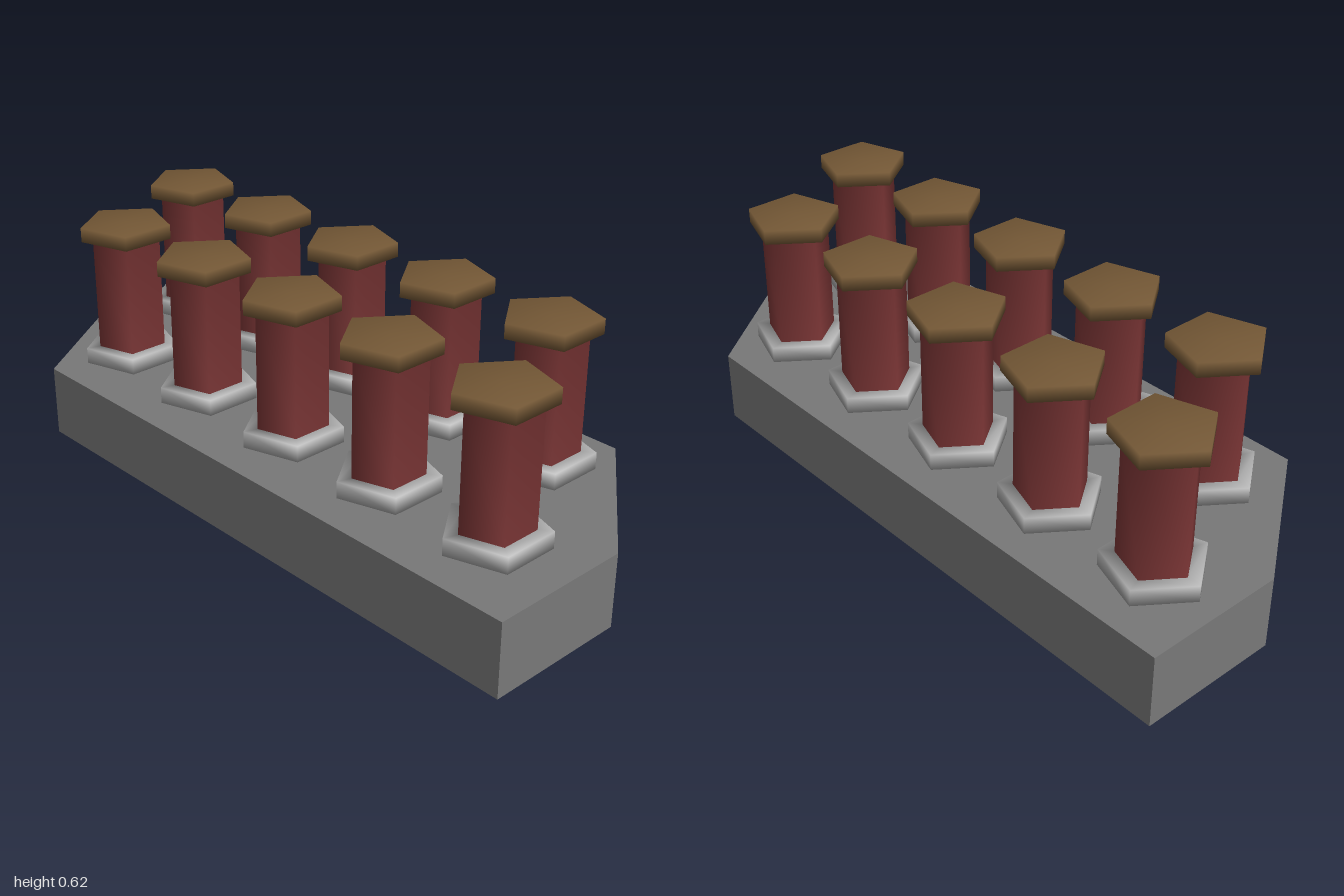
import * as THREE from 'three';

const mat = (name, color) => {
  const m = new THREE.MeshStandardMaterial({ color });
  m.name = name;
  return m;
};

// One five-sided profile for foot, shaft and cap, so the soft shading runs across the joins
function columnGeometry() {
  const profile = [
    [0, 0.207], [0.138, 0.207], [0.138, 0.253], // foot
    [0.098, 0.253], [0.098, 0.58],              // shaft
    [0.131, 0.58], [0.131, 0.621], [0, 0.621],  // cap
  ].map(([r, y]) => new THREE.Vector2(r, y));
  const sides = 5;
  const geo = new THREE.LatheGeometry(profile, sides, Math.PI);
  // Material of each band of the profile: 0 foot, 1 shaft, 2 cap
  const bands = [0, 0, 0, 1, 2, 2, 2];
  // The two pole bands carry one triangle each, the others two
  const counts = bands.map(() => 6);
  const perSide = geo.index.count / sides;
  if (perSide !== counts.length * 6) counts[0] = counts[counts.length - 1] = 3;
  for (let s = 0; s < sides; s++) {
    let start = s * perSide;
    bands.forEach((m, i) => {
      geo.addGroup(start, counts[i], m);
      start += counts[i];
    });
  }
  return geo;
}

export function createModel() {
  const model = new THREE.Group();
  model.name = 'columnPlatform';
  const stone = mat('stone grey', 0x787878);
  const columnMaterials = [
    mat('pale silver', 0xb4b4b4),
    mat('dark red', 0x783434),
    mat('bronze brown', 0x735735),
  ];

  // Six-sided plinth with two opposite corners cut off
  const outline = [
    [-0.403, -0.715], [-0.403, 1], [0, 1],
    [0.403, 0.685], [0.403, -1], [0, -1],
  ].map(([x, z]) => new THREE.Vector2(x, -z));
  const plinthGeo = new THREE.ExtrudeGeometry(new THREE.Shape(outline), {
    depth: 0.204, bevelEnabled: false,
  });
  plinthGeo.rotateX(-Math.PI / 2);
  const plinth = new THREE.Mesh(plinthGeo, stone);
  plinth.name = 'plinth';
  model.add(plinth);

  // Two staggered rows of five columns
  const geo = columnGeometry();
  const rows = [
    { name: 'rightColumn', x: -0.178, z: -0.634 },
    { name: 'leftColumn', x: 0.193, z: -0.804 },
  ];
  for (const row of rows) {
    for (let i = 0; i < 5; i++) {
      const column = new THREE.Mesh(geo, columnMaterials);
      column.name = row.name + (i + 1);
      column.position.set(row.x, 0, row.z + i * 0.353);
      model.add(column);
    }
  }
  return model;
}
